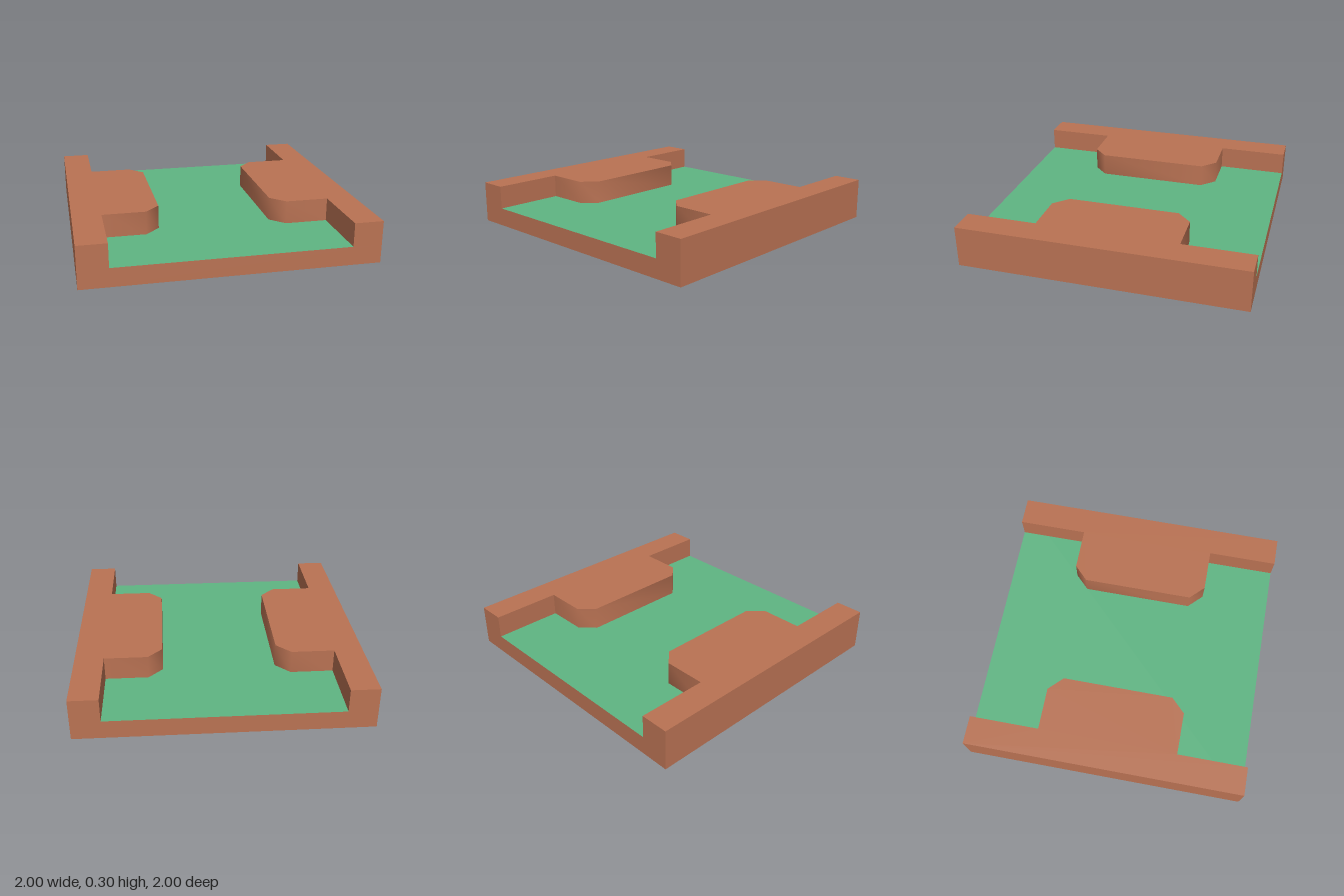
import * as THREE from 'three';
import { toCreasedNormals } from 'three/addons/utils/BufferGeometryUtils.js';

const FLOOR = 0.13, TOP = 0.295;

export function createModel() {
  const model = new THREE.Group();
  model.name = 'narrowingCourseTile';
  const wood = new THREE.MeshStandardMaterial({ name: 'wood', color: 0xb97253 });
  const turf = new THREE.MeshStandardMaterial({ name: 'turf', color: 0x5fb583 });

  // base slab: wooden sides and underside, turf on the top face
  const base = new THREE.Mesh(
    new THREE.BoxGeometry(2, FLOOR, 2),
    [wood, wood, turf, wood, wood, wood]
  );
  base.name = 'base';
  base.position.y = FLOOR / 2;
  model.add(base);

  // side wall with a chamfered block that narrows the lane
  const outline = new THREE.Shape([
    [1, -1], [1, 1], [0.8, 1], [0.8, 0.5], [0.5, 0.5], [0.4, 0.4],
    [0.4, -0.4], [0.5, -0.5], [0.8, -0.5], [0.8, -1],
  ].map(([x, y]) => new THREE.Vector2(x, y)));
  const extruded = new THREE.ExtrudeGeometry(outline, { depth: TOP - FLOOR, bevelEnabled: false });
  extruded.rotateX(-Math.PI / 2);
  // chamfers blend smoothly, right angles stay sharp
  const wallGeometry = toCreasedNormals(extruded, THREE.MathUtils.degToRad(60));

  for (const [name, turn] of [['leftWall', 0], ['rightWall', Math.PI]]) {
    const wall = new THREE.Mesh(wallGeometry, wood);
    wall.name = name;
    wall.position.y = FLOOR;
    wall.rotation.y = turn;
    model.add(wall);
  }
  return model;
}
